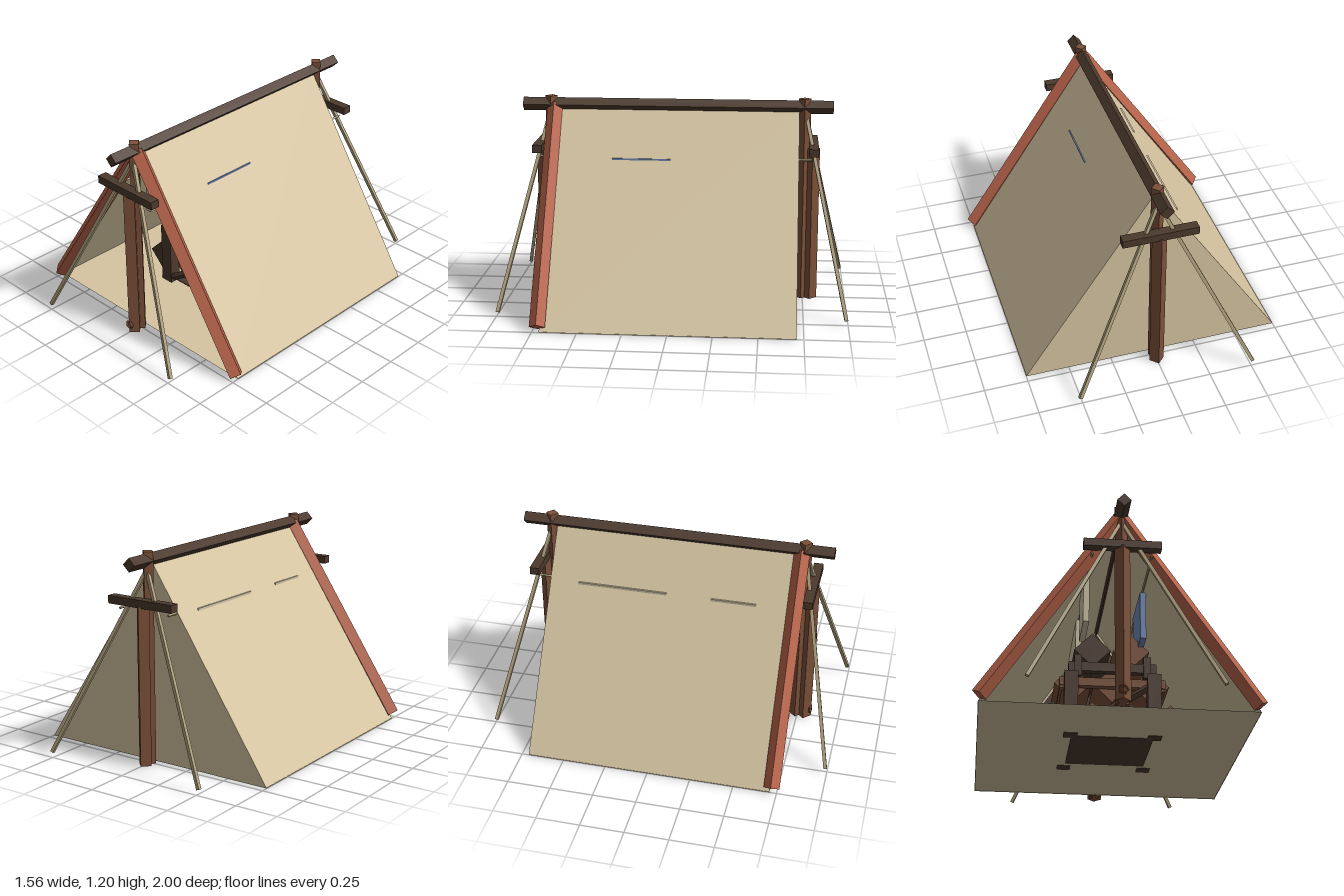
import * as THREE from 'three';

const mat = (name, color, side = THREE.FrontSide) => {
  const m = new THREE.MeshStandardMaterial({ color, side, flatShading: true });
  m.name = name;
  return m;
};

export function createModel() {
  const root = new THREE.Group();
  root.name = 'tent';
  const canvas = mat('canvas', 0xd6c5a2, THREE.DoubleSide);
  const wood = mat('wood', 0x7b5039);
  const dark = mat('darkWood', 0x4c392c);
  const lining = mat('lining', 0x4e3a2d, THREE.DoubleSide);
  const trim = mat('redTrim', 0xb8644a);
  const rope = mat('rope', 0xb0a17e);
  const blue = mat('blueCloth', 0x7189b5);
  const cream = mat('creamCloth', 0xcfc3a5);

  const V = (x, y, z) => new THREE.Vector3(x, y, z);
  const add = (name, geo, material, parent = root) => {
    const m = new THREE.Mesh(geo, material);
    m.name = name;
    parent.add(m);
    return m;
  };
  const box = (name, size, pos, material, parent) => {
    const m = add(name, new THREE.BoxGeometry(...size), material, parent);
    m.position.set(...pos);
    return m;
  };
  // square-section pole between two points, standing on its edge
  const pole = (name, a, b, r, material, parent) => {
    const d = b.clone().sub(a);
    const m = add(name, new THREE.CylinderGeometry(r, r, d.length(), 4), material, parent);
    m.position.copy(a).add(b).multiplyScalar(0.5);
    m.quaternion.setFromUnitVectors(V(0, 1, 0), d.normalize());
    return m;
  };
  // flat sheet from corner points
  const sheet = (name, pts, material) => {
    const g = new THREE.BufferGeometry().setFromPoints(pts);
    g.setIndex(pts.length === 4 ? [0, 1, 2, 0, 2, 3] : [0, 1, 2]);
    g.computeVertexNormals();
    return add(name, g, material);
  };

  // canvas shelter, open at the front
  const W = 0.75, H = 1.14, D = 0.71;
  for (const s of [1, -1]) {
    const pts = [V(s * W, 0, D), V(s * W, 0, -D), V(0, H, -D), V(0, H, D)];
    sheet(s > 0 ? 'leftRoof' : 'rightRoof', s > 0 ? pts : pts.reverse(), canvas);
  }
  sheet('groundSheet', [V(-W, 0.003, D), V(W, 0.003, D), V(W, 0.003, -D), V(-W, 0.003, -D)], canvas);
  sheet('backWall', [V(W, 0, -D), V(-W, 0, -D), V(0, H, -D)], canvas);
  sheet('backLining', [V(-W + 0.02, 0.005, -D + 0.01), V(W - 0.02, 0.005, -D + 0.01), V(0, H - 0.03, -D + 0.01)], lining);

  // ridge pole and red front edges
  pole('ridgePole', V(0, 1.15, -0.905), V(0, 1.15, 0.905), 0.039, dark);
  for (const s of [1, -1]) {
    pole('frontEdge', V(s * 0.745, 0.03, 0.72), V(0, 1.145, 0.72), 0.045, trim);
  }

  // both ends: uprights, crossbar and guy poles
  for (const e of [1, -1]) {
    const end = new THREE.Group();
    end.name = e > 0 ? 'frontFrame' : 'backFrame';
    root.add(end);
    pole('tallPost', V(0, 0, e * 0.74), V(0, 1.2, e * 0.74), 0.036, wood, end);
    pole('shortPost', V(0, 0, e * 0.79), V(0, 0.91, e * 0.79), 0.043, wood, end);
    box('crossbar', [0.43, 0.045, 0.055], [0, 0.922, e * 0.795], dark, end);
    for (const s of [1, -1]) {
      pole('guyPole', V(0, 1.1, e * 0.75), V(s * 0.51, 0.03, e * 0.99), 0.014, rope, end);
    }
  }
  const ring = add('postRing', new THREE.TorusGeometry(0.022, 0.009, 4, 5), wood);
  ring.position.set(0, 0.05, 0.827);

  // drying lines with hanging cloths
  for (const s of [1, -1]) {
    pole('dryingLine', V(s * 0.165, 0.873, -0.785), V(s * 0.165, 0.873, 0.785), 0.007, rope);
  }
  box('blueCloth', [0.034, 0.293, 0.34], [0.168, 0.722, 0.195], blue);
  box('creamClothBack', [0.034, 0.27, 0.52], [-0.171, 0.733, -0.28], cream);
  box('creamClothFront', [0.034, 0.27, 0.26], [-0.171, 0.733, 0.37], cream);

  // stacked square logs
  const pile = new THREE.Group();
  pile.name = 'logPile';
  root.add(pile);
  [4, 3, 2].forEach((n, row) => {
    for (let i = 0; i < n; i++) {
      const x = (i - (n - 1) / 2) * 0.222, y = 0.112 + row * 0.215;
      const m = row === 1 || i % 2 ? wood : dark;
      pole('log', V(x, y, -0.24), V(x, y, 0.25), 0.105, m, pile);
    }
  });

  // rack around the logs
  const rack = new THREE.Group();
  rack.name = 'rack';
  root.add(rack);
  for (const s of [1, -1]) {
    for (const z of [0.28, -0.24]) {
      box('rackLeg', [0.078, 0.38, 0.07], [s * 0.235, 0.19, z], dark, rack);
      box('rackUpright', [0.042, 0.13, 0.05], [s * 0.197, 0.42, z], dark, rack);
    }
    box('sideRail', [0.05, 0.05, 0.52], [s * 0.275, 0.31, 0.02], wood, rack);
  }
  for (const z of [0.27, -0.23]) {
    box('topRail', [0.5, 0.055, 0.04], [0, 0.42, z], dark, rack);
    box('middleRail', [0.6, 0.05, 0.04], [0, 0.325, z], wood, rack);
  }
  pole('brace', V(-0.18, 0.05, 0.31), V(0.2, 0.3, 0.29), 0.022, dark, rack);
  box('rackBase', [0.46, 0.008, 0.44], [0, 0.004, 0.05], dark, rack);

  return root;
}
